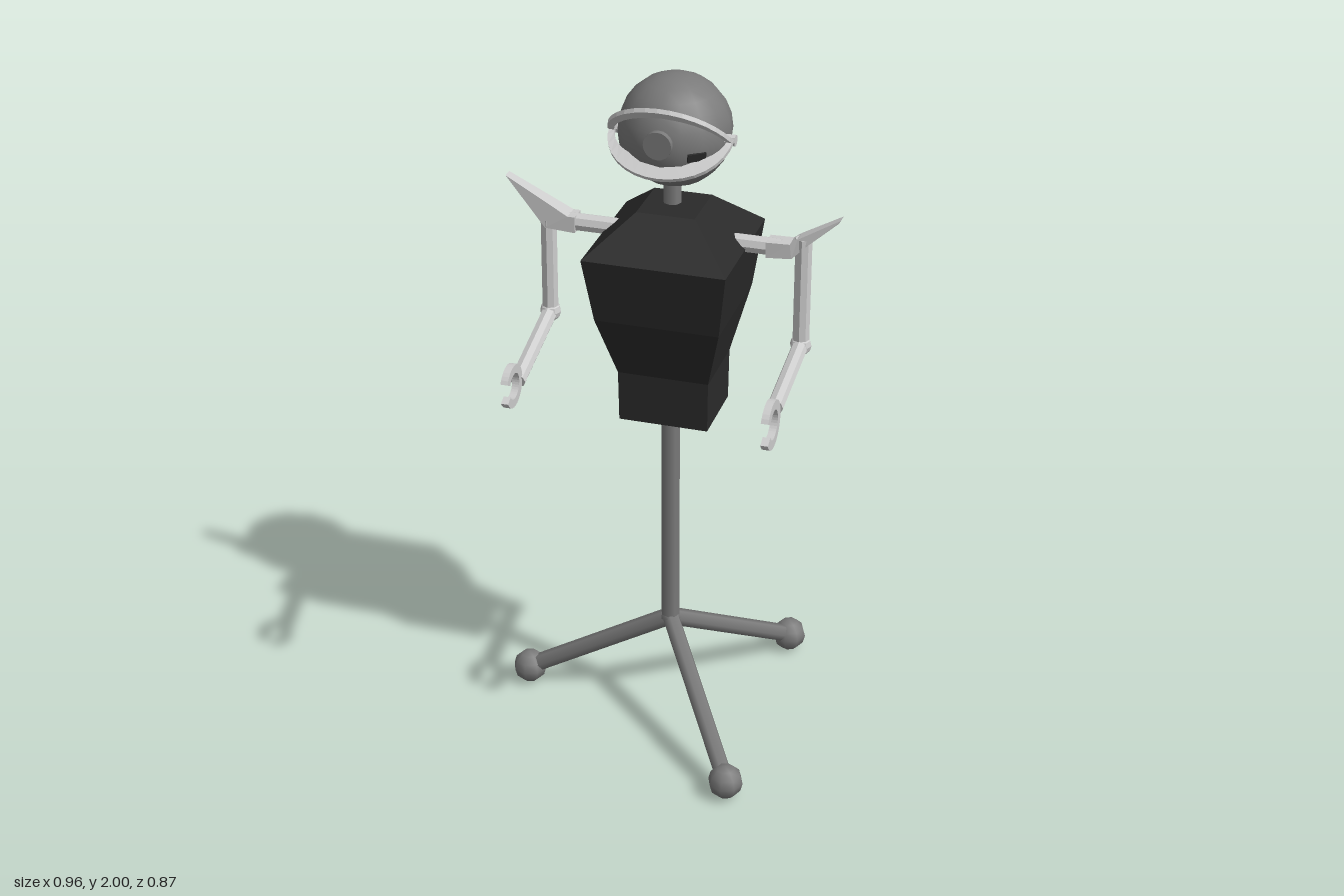
import * as THREE from 'three';

const mat = (name, color) => Object.assign(new THREE.MeshStandardMaterial({ color, flatShading: true }), { name });
const V = (x, y, z) => new THREE.Vector3(x, y, z);

// Closed solid through rings of equal point count, always wound outwards
function loft(rings) {
  const n = rings[0].length, tris = [];
  for (let i = 0; i < rings.length - 1; i++)
    for (let j = 0; j < n; j++) {
      const k = (j + 1) % n, a = rings[i], b = rings[i + 1];
      tris.push([a[j], a[k], b[k]], [a[j], b[k], b[j]]);
    }
  const first = rings[0], last = rings[rings.length - 1];
  for (let j = 1; j < n - 1; j++) {
    tris.push([first[0], first[j + 1], first[j]], [last[0], last[j], last[j + 1]]);
  }
  const o = first[0];
  const volume = tris.reduce((s, [a, b, c]) =>
    s + a.clone().sub(o).dot(b.clone().sub(o).cross(c.clone().sub(o))), 0);
  const pts = tris.flatMap(t => (volume < 0 ? [t[0], t[2], t[1]] : t));
  const g = new THREE.BufferGeometry().setFromPoints(pts);
  g.computeVertexNormals();
  return g;
}

export function createModel() {
  const metal = mat('mid grey metal', 0x7a7a7a);
  metal.flatShading = false;
  const black = mat('black shell', 0x2a2a2a);
  const pale = mat('pale grey metal', 0xcccccc);
  const legMetal = metal;
  const root = new THREE.Group();

  const add = (name, geo, material, pos, parent = root) => {
    const m = new THREE.Mesh(geo, material);
    m.name = name;
    if (pos) m.position.copy(pos);
    parent.add(m);
    return m;
  };
  const rod = (name, a, b, r, material, sides = 8, parent = root) => {
    const m = add(name, new THREE.CylinderGeometry(r, r, a.distanceTo(b), sides), material,
      a.clone().add(b).multiplyScalar(0.5), parent);
    m.quaternion.setFromUnitVectors(V(0, 1, 0), b.clone().sub(a).normalize());
    return m;
  };

  // Torso: stacked rectangular sections [y, half width, half depth]
  const torso = [[1.025, 0.125, 0.105], [1.17, 0.127, 0.107], [1.35, 0.172, 0.168],
    [1.535, 0.197, 0.199], [1.64, 0.08, 0.083]];
  add('torso', loft(torso.map(([y, w, d]) => [[-1, -1], [1, -1], [1, 1], [-1, 1]]
    .map(([sx, sz]) => V(0.027 + sx * w, y, 0.017 + sz * d)))), black);

  // Pole, neck and tripod
  const hub = V(0.013, 0.325, 0.004);
  rod('pole', V(0.013, 0.32, 0.004), V(0.013, 1.05, 0.004), 0.027, metal);
  rod('neck', V(0.018, 1.6, 0.006), V(0.018, 1.76, 0.006), 0.025, metal);
  add('legHub', new THREE.SphereGeometry(0.03, 8, 6), metal, hub);
  [[-0.43, -0.006], [0.285, 0.37], [0.273, -0.395]].forEach(([x, z]) => {
    const foot = V(x, 0.055, z);
    rod('leg', hub, foot, 0.026, legMetal, 6);
    add('foot', new THREE.SphereGeometry(0.05, 8, 6), metal, foot);
  });

  // Head with round eye
  const head = new THREE.Group();
  head.name = 'head';
  root.add(head);
  add('skull', new THREE.SphereGeometry(0.152, 16, 12), metal, V(0.026, 1.849, 0.005), head);
  rod('eye', V(0.024, 1.86, 0.12), V(0.024, 1.86, 0.163), 0.038, metal, 20, head);
  const mark = add('eyeMark', new THREE.BoxGeometry(0.05, 0.022, 0.006), black, V(0.118, 1.825, 0.122), head);
  mark.lookAt(V(0.21, 1.8, 0.24));

  // Eyelids: curved bands meeting at side hinges
  const lid = (rise, inner) => {
    const rings = [];
    for (let i = 0; i <= 16; i++) {
      const t = Math.PI * i / 16, c = Math.cos(t), s = Math.sin(t), up = Math.sign(rise);
      const p = (r, y, z) => V(0.027 + r * c, 1.845 + y * s, 0.032 + z * Math.pow(s, 0.8));
      const a = p(0.168, rise, 0.135), b = p(0.153, inner, 0.096);
      const th = V(0, -up * 0.01, 0.006);
      rings.push([a, a.clone().add(th), b.clone().add(th), b]);
    }
    return loft(rings);
  };
  add('upperLid', lid(0.12, 0.09), pale, null, head);
  add('lowerLid', lid(-0.08, -0.05), pale, null, head);
  [-1, 1].forEach(s => rod('lidHinge', V(0.027 + s * 0.14, 1.845, 0.032),
    V(0.027 + s * 0.17, 1.845, 0.032), 0.016, pale, 8, head));

  // Open ring claw with its gap facing forwards
  const clawGeometry = (r) => {
    const gap = 0.5, shape = new THREE.Shape();
    shape.absarc(0, 0, r, gap, 2 * Math.PI - gap, false);
    shape.absarc(0, 0, r * 0.6, 2 * Math.PI - gap, gap, true);
    shape.closePath();
    const g = new THREE.ExtrudeGeometry(shape, { depth: 0.02, bevelEnabled: false, curveSegments: 14 });
    return g.translate(0, 0, -0.01).rotateY(-Math.PI / 2);
  };

  // Arms: bar, upswept shoulder fin, upper arm, forearm and claw
  const arms = [
    { name: 'rightArm', x: -0.332, inner: -0.1, top: 1.545, wrist: V(-0.33, 1.19, 0.285),
      claw: V(-0.327, 1.205, 0.342), r: 0.06,
      fin: [[-0.25, 1.52, -0.25, 1.566, 0.026], [-0.335, 1.525, -0.27, 1.566, 0.026],
        [-0.438, 1.648, -0.448, 1.66, 0.015]] },
    { name: 'leftArm', x: 0.378, inner: 0.15, top: 1.58, wrist: V(0.383, 1.228, 0.295),
      claw: V(0.388, 1.213, 0.36), r: 0.067,
      fin: [[0.28, 1.52, 0.28, 1.564, 0.026], [0.35, 1.525, 0.345, 1.566, 0.025],
        [0.395, 1.57, 0.365, 1.582, 0.022], [0.472, 1.638, 0.478, 1.648, 0.014]] },
  ];
  arms.forEach(({ name, x, inner, top, wrist, claw, r, fin }) => {
    const arm = new THREE.Group();
    arm.name = name;
    root.add(arm);
    rod('shoulderBar', V(inner, 1.543, 0), V(x * 0.84, 1.543, 0), 0.025, pale, 8, arm);
    add('shoulderFin', loft(fin.map(([bx, by, tx, ty, d]) =>
      [V(bx, by, -d), V(bx, by, d), V(tx, ty, d), V(tx, ty, -d)])), pale, null, arm);
    const elbow = V(x, 1.267, 0.006);
    rod('upperArm', V(x, top, 0.003), elbow, 0.023, pale, 8, arm);
    add('elbow', new THREE.SphereGeometry(0.03, 8, 6), pale, elbow, arm);
    rod('forearm', elbow, wrist, 0.022, pale, 8, arm);
    add('claw', clawGeometry(r), pale, claw, arm);
  });
  return root;
}
